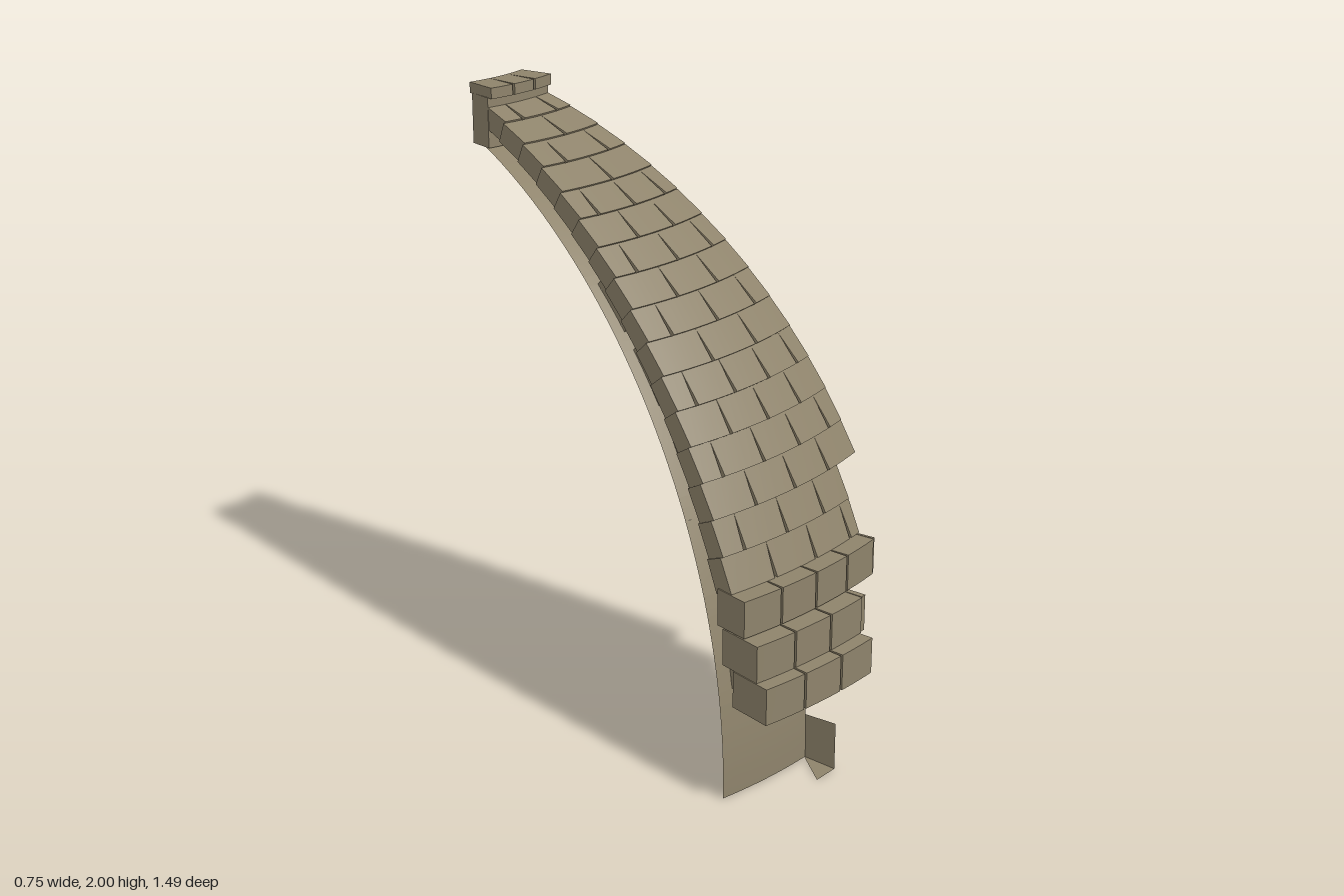
import * as THREE from 'three';
import { mergeGeometries } from 'three/addons/utils/BufferGeometryUtils.js';

const AX = 0.022, AY = 0.04, AZ = -1.34; // dome axis and springing height
const HALF = 11.25;                      // half angle of the dome sector
const RIN = 1.895, ROUT = 2.022;
const rad = THREE.MathUtils.degToRad;

// r, elevation, azimuth (degrees) on a sphere
function sph(r, phi, th) {
  const c = r * Math.cos(rad(phi));
  return new THREE.Vector3(AX + c * Math.sin(rad(th)), AY + r * Math.sin(rad(phi)), AZ + c * Math.cos(rad(th)));
}
// r, height, azimuth on an upright ring
function cyl(r, y, th) {
  return new THREE.Vector3(AX + r * Math.sin(rad(th)), y, AZ + r * Math.cos(rad(th)));
}

// Move every vertex of a geometry by a rule
function warp(geo, rule) {
  const p = geo.attributes.position;
  for (let i = 0; i < p.count; i++) {
    const v = rule(p.getX(i), p.getY(i), p.getZ(i));
    p.setXYZ(i, v.x, v.y, v.z);
  }
  geo.computeVertexNormals();
  return geo;
}

// Curved block; gap(z, y) narrows it towards the joints, z and y in -0.5..0.5
function block(map, r0, r1, v0, v1, t0, t1, gap = () => 0, lip = 0) {
  return warp(new THREE.BoxGeometry(1, 1, 1, Math.max(2, Math.ceil((t1 - t0) / 2)), 1, 1), (x, y, z) => {
    const mid = (t0 + t1) / 2, w = t1 - t0 - 2 * gap(z, y);
    const r = r0 + (r1 - r0) * (z + 0.5) + (z > 0 && y < 0 ? lip : 0);
    return map(r, v0 + (v1 - v0) * (y + 0.5), mid + x * w);
  });
}

// Open curved sheet of the inner shell
function patch(r, p0, p1, t0, t1) {
  const geo = new THREE.PlaneGeometry(1, 1, Math.max(1, Math.ceil((t1 - t0) / 1.5)), Math.max(1, Math.ceil((p1 - p0) / 2)));
  return warp(geo, (x, y) => sph(r, p0 + (p1 - p0) * (y + 0.5), t0 + (t1 - t0) * (x + 0.5)));
}

// Closed rectangular loop on a sphere
function rectLoop(r, p0, p1, t0, t1, n = 5) {
  const c = [[p0, t0], [p0, t1], [p1, t1], [p1, t0]], out = [];
  for (let s = 0; s < 4; s++) {
    const a = c[s], b = c[(s + 1) % 4];
    for (let i = 0; i < n; i++) out.push(sph(r, a[0] + (b[0] - a[0]) * i / n, a[1] + (b[1] - a[1]) * i / n));
  }
  return out;
}

function bridge(a, b) {
  const pts = [];
  a.forEach((p, i) => {
    const j = (i + 1) % a.length;
    pts.push(p, a[j], b[j], p, b[j], b[i]);
  });
  const geo = new THREE.BufferGeometry().setFromPoints(pts);
  geo.computeVertexNormals();
  return geo;
}

// Stepped recess: alternate walls and ledges, closed by a panel
function coffer(p0, p1, t0, t1) {
  const steps = [[0, RIN], [0, RIN + 0.025], [0.75, RIN + 0.025], [0.75, RIN + 0.05]];
  const loops = steps.map(([d, r]) => rectLoop(r, p0 + d, p1 - d, t0 + d, t1 - d));
  const parts = [];
  for (let i = 0; i < 3; i++) parts.push(bridge(loops[i], loops[i + 1]));
  const back = patch(RIN + 0.05, p0 + 0.75, p1 - 0.75, t0 + 0.75, t1 - 0.75).toNonIndexed();
  back.deleteAttribute('uv');
  parts.push(back);
  return mergeGeometries(parts);
}

export function createModel() {
  const model = new THREE.Group();
  model.name = 'domeSector';
  const stone = new THREE.MeshStandardMaterial({ color: 0x8e836b, side: THREE.DoubleSide });
  stone.name = 'tan stone';
  const add = (name, geos, parent = model) => {
    const m = new THREE.Mesh(Array.isArray(geos) ? mergeGeometries(geos) : geos, stone);
    m.name = name;
    parent.add(m);
  };

  // Inner shell in bands: bottom, top, cut-off azimuth, coffer bottom and top
  const bands = [
    [-1.2, 8.2, 0],
    [8.2, 17.4, 2.3, 9.5, 16.8],
    [17.4, 27, 9.8, 18.7, 25.8],
    [27, 35.6, HALF, 28, 34.6],
    [35.6, 43.3, HALF, 36.6, 42.3],
    [43.3, 50.5, HALF, 44.2, 49.5],
    [50.5, 69.9, HALF],
  ];
  const columns = [[-9.6, -1.6], [1.6, 9.6]];
  const sheets = [], recesses = [];
  for (const [a, b, tMax, c0, c1] of bands) {
    if (c0 === undefined) { sheets.push(patch(RIN, a, b, -HALF, tMax)); continue; }
    sheets.push(patch(RIN, a, c0, -HALF, tMax), patch(RIN, c1, b, -HALF, tMax));
    let from = -HALF;
    for (const [t0, t1] of columns) {
      if (t1 > tMax) continue;
      sheets.push(patch(RIN, c0, c1, from, t0));
      recesses.push(coffer(c0, c1, t0, t1));
      from = t1;
    }
    sheets.push(patch(RIN, c0, c1, from, tMax));
  }
  add('innerShell', sheets);
  add('coffers', recesses);

  // Outer courses of overlapping tiles with staggered joints
  const tiles = new THREE.Group();
  tiles.name = 'outerTiles';
  model.add(tiles);
  const pitch = 3.2;
  for (let k = 0; k < 16; k++) {
    const p0 = 19 + k * pitch, ring = ROUT * Math.cos(rad(p0));
    const n = Math.max(2, Math.round(ring * 0.393 / 0.185));
    const w = 2 * HALF / n, tMax = k < 2 ? 7.4 : HALF;
    const gapDeg = 0.006 / ring * 57.3;
    const course = [];
    for (let i = 0; i <= n; i++) {
      const start = -HALF + (i - (k % 2 ? 0.5 : 0)) * w;
      const t0 = Math.max(-HALF, start), t1 = Math.min(tMax, start + w);
      if (t1 - t0 < 0.2) continue;
      course.push(block(sph, 1.955, ROUT, p0, p0 + pitch, t0, t1, (z, y) => (y < 0 ? gapDeg : 0), 0.006));
    }
    add('tileCourse' + (k + 1), course, tiles);
  }

  // Stepped brick rings: inner and outer radius, bottom, top, cut-off azimuth
  const rings = [
    [1.86, 1.98, 0.58, 0.70, 7],
    [1.885, 2.04, 0.457, 0.577, 2.8],
    [1.935, 2.085, 0.335, 0.455, 2.15],
  ];
  rings.forEach(([r0, r1, y0, y1, tMax], i) => {
    const bricks = [];
    for (let t = -HALF; t < tMax - 0.1; t += 4.5) {
      const t1 = Math.min(t + 4.5, tMax);
      if (t1 - t < 0.6) bricks.push(block(cyl, r0, r1 - 0.004, y0, y1, t, t1));
      else bricks.push(block(cyl, r0, r1, y0, y1, t, t1, z => (z > 0 ? 0.12 : 0.02)));
    }
    add('stepRing' + (i + 1), bricks);
  });

  // Oculus rim: curved wall with three cap stones
  add('oculusWall', block(cyl, 0.617, 0.705, 1.805, 1.967, -HALF, HALF));
  const caps = [];
  for (let i = 0; i < 3; i++) {
    const t = -HALF + i * 7.5;
    caps.push(block(cyl, 0.605, 0.72, 1.965, 2, t, t + 7.5, z => (z > 0 ? 0.35 : 0)));
  }
  add('oculusCap', caps);

  // Remnant of the base wall: end panel and a sliver of its underside
  const end = new THREE.Shape([[0.55, 0], [0.67, 0], [0.67, 0.16], [0.55, 0.152]].map(p => new THREE.Vector2(...p)));
  add('baseEnd', warp(new THREE.ShapeGeometry(end), (z, y) => new THREE.Vector3(0.02, y, z)));
  const under = new THREE.Shape([[0.02, 0.55], [0.02, 0.67], [-0.07, 0.67]].map(p => new THREE.Vector2(...p)));
  add('baseUnderside', warp(new THREE.ShapeGeometry(under), (x, z) => new THREE.Vector3(x, 0, z)));

  return model;
}
